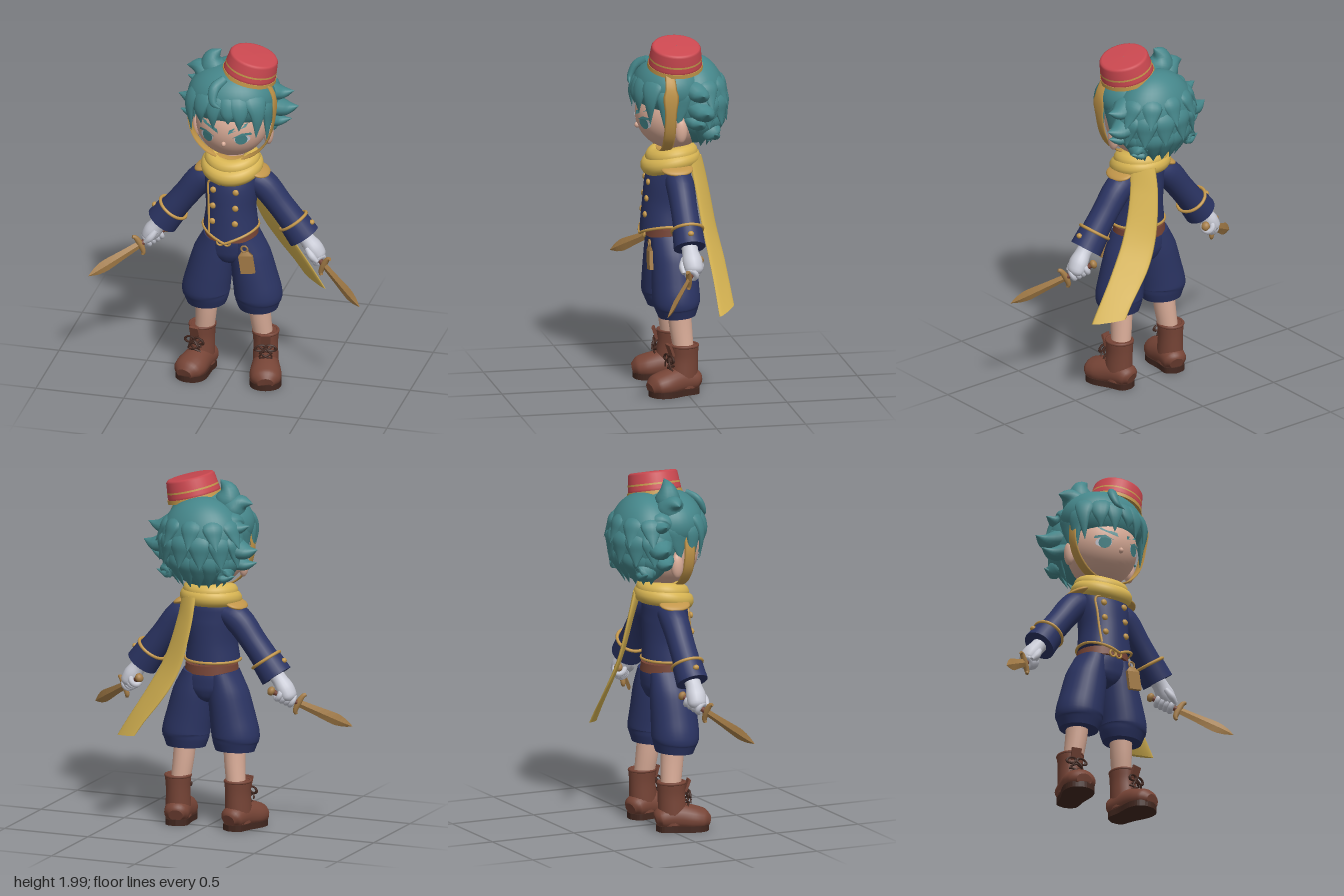
import * as THREE from 'three';

const mat = (name, color, side = THREE.FrontSide) => {
  const m = new THREE.MeshStandardMaterial({ color, side });
  m.name = name;
  return m;
};
const V = (x, y, z) => new THREE.Vector3(x, y, z);
const P = (x, y) => new THREE.Vector2(x, y);

// Elliptical tube through rows [x, y, z, width, height]; n is the direction of height.
function sweep(rows, n, sides = 20, steps = 4, flat = false) {
  const path = new THREE.CatmullRomCurve3(rows.map(r => V(r[0], r[1], r[2])));
  const size = new THREE.CatmullRomCurve3(rows.map(r => V(r[3], r[4], 0)));
  const total = (rows.length - 1) * steps, pos = [], idx = [];
  for (let i = 0; i <= total; i++) {
    const t = i / total, c = path.getPoint(t), d = path.getTangent(t), s = size.getPoint(t);
    const u = n.clone().cross(d).normalize(), v = d.clone().cross(u);
    for (let j = 0; j < sides; j++) {
      const a = j / sides * Math.PI * 2;
      const p = c.clone().addScaledVector(u, Math.cos(a) * Math.max(s.x, 0.001)).addScaledVector(v, Math.sin(a) * Math.max(s.y, 0.001));
      pos.push(p.x, p.y, p.z);
    }
  }
  for (let i = 0; i < total; i++) for (let j = 0; j < sides; j++) {
    const a = i * sides + j, b = i * sides + (j + 1) % sides;
    idx.push(a, b, a + sides, b, b + sides, a + sides);
  }
  for (const end of [0, total]) {
    const first = pos.length / 3;
    for (let j = 0; j < sides; j++) for (let k = 0; k < 3; k++) pos.push(pos[(end * sides + j) * 3 + k]);
    for (let j = 1; j < sides - 1; j++) idx.push(first, first + (end ? j : j + 1), first + (end ? j + 1 : j));
  }
  let g = new THREE.BufferGeometry();
  g.setAttribute('position', new THREE.Float32BufferAttribute(pos, 3));
  g.setIndex(idx);
  if (flat) g = g.toNonIndexed();
  g.computeVertexNormals();
  return g;
}
const ball = (x, y, z, rx, ry, rz, seg = 32) =>
  new THREE.SphereGeometry(1, seg, Math.ceil(seg * 0.7)).scale(rx, ry, rz).translate(x, y, z);
const tube = (pts, r, closed = false) =>
  new THREE.TubeGeometry(new THREE.CatmullRomCurve3(pts, closed), pts.length * 6, r, 8, closed);

// Move geometry vertices by a rule on each point.
function bend(g, rule) {
  const p = g.attributes.position, v = V(0, 0, 0);
  for (let i = 0; i < p.count; i++) {
    rule(v.fromBufferAttribute(p, i));
    p.setXYZ(i, v.x, v.y, v.z);
  }
  g.computeVertexNormals();
  return g;
}

export function createModel() {
  const model = new THREE.Group();
  const hairM = mat('teal hair', 0x45868a), red = mat('red felt', 0xcb4850), navy = mat('navy cloth', 0x2b3463);
  const yellow = mat('yellow scarf', 0xd8b553), gold = mat('gold trim', 0xc2964a), skin = mat('skin', 0xd8ab97);
  const brown = mat('brown leather', 0x764436), dark = mat('dark sole', 0x42271f);
  const white = mat('white glove', 0xc9cbd6, THREE.DoubleSide), bronze = mat('bronze', 0xa57d48);
  const add = (name, g, m, parent = model) => {
    const mesh = new THREE.Mesh(g, m);
    mesh.name = name;
    parent.add(mesh);
    return mesh;
  };
  const Z = V(0, 0, 1), Y = V(0, 1, 0);
  const caster = new THREE.Raycaster();
  const onFront = (mesh, x, y, lift) => {
    caster.set(V(x, y, 2), V(0, 0, -1));
    const hit = caster.intersectObject(mesh)[0];
    return V(x, y, (hit ? hit.point.z : 0.15) + lift);
  };

  // Head, nose and neck
  const head = add('head', ball(0, 1.56, 0.04, 0.203, 0.205, 0.208, 48), skin);
  add('nose', ball(0, 1.492, 0.238, 0.013, 0.016, 0.016, 16), skin);
  add('neck', new THREE.CylinderGeometry(0.058, 0.065, 0.2, 20).translate(0, 1.34, 0.03), skin);

  // Ears, and face details as thin patches on the head
  const patch = (name, pts, m, lift) => {
    const g = new THREE.ShapeGeometry(new THREE.Shape(pts.map(p => P(p[0], p[1]))));
    add(name, bend(g, v => v.copy(onFront(head, v.x, v.y, lift))), m);
  };
  const oval = (x, y, rx, ry) => Array.from({ length: 16 }, (_, i) =>
    [x + rx * Math.cos(i * Math.PI / 8), y + ry * Math.sin(i * Math.PI / 8)]);
  for (const s of [-1, 1]) {
    add('ear', ball(s * 0.203, 1.495, 0.035, 0.028, 0.07, 0.036, 20), skin);
    patch('eyeWhite', oval(s * 0.1, 1.524, 0.04, 0.028), white, 0.004);
    patch('iris', oval(s * 0.096, 1.524, 0.031, 0.034), hairM, 0.006);
    patch('eyelash', [[s * 0.05, 1.536], [s * 0.1, 1.549], [s * 0.15, 1.545], [s * 0.145, 1.56], [s * 0.1, 1.564]], hairM, 0.009);
    patch('eyebrow', [[s * 0.028, 1.56], [s * 0.12, 1.598], [s * 0.13, 1.618], [s * 0.034, 1.584]], hairM, 0.008);
  }

  // Hair: two smooth rounded masses with sunken locks whose tips break the outline
  const hair = new THREE.Group();
  hair.name = 'hair';
  model.add(hair);
  add('hairCrown', ball(0, 1.715, 0.06, 0.245, 0.178, 0.2, 40), hairM, hair);
  add('hairBack', ball(0, 1.63, -0.07, 0.24, 0.25, 0.185, 40), hairM, hair);
  const taper = [0.8, 1, 0.65, 0.02];
  const lock = (name, pts, w, h, n) =>
    add(name, sweep(pts.map((p, i) => [p.x, p.y, p.z, w * taper[i], h * taper[i]]), n.normalize(), 12, 5), hairM, hair);
  for (const [x, y, w] of [[-0.2, 1.53, 0.06], [-0.13, 1.6, 0.065], [-0.055, 1.585, 0.06], [0.03, 1.625, 0.06], [0.09, 1.585, 0.065], [0.175, 1.535, 0.07]]) {
    const z = 0.06 + 0.21 * Math.sqrt(1 - (x / 0.245) ** 2);
    lock('bang', [V(x * 0.6, 1.81, z * 0.55), V(x * 0.9, 1.75, z * 0.86), V(x * 1.05, 1.68, z * 0.98), V(x, y, z * 0.97)], w, 0.028, V(x, 0.05, 0.2));
  }
  for (const s of [-1, 1]) {
    lock('sideLock', [V(s * 0.16, 1.78, 0.12), V(s * 0.215, 1.7, 0.125), V(s * 0.22, 1.6, 0.12), V(s * 0.215, 1.48, 0.12)], 0.05, 0.022, V(s, 0, 0.3));
    lock('templeLock', [V(s * 0.17, 1.78, 0.04), V(s * 0.21, 1.71, 0.04), V(s * 0.215, 1.63, 0.04), V(s * 0.215, 1.53, 0.05)], 0.075, 0.025, V(s, 0, 0));
    // Side fins: broad from front to back, thin in height
    const fins = [[0.342, 1.615, -0.09, 0.085], [s > 0 ? 0.322 : 0.285, s > 0 ? 1.715 : 1.74, -0.07, 0.075],
      [s > 0 ? 0.31 : 0.325, s > 0 ? 1.55 : 1.535, -0.06, 0.065], [0.235, 1.47, -0.16, 0.06]];
    for (const [x, y, z, r] of fins) lock('sideSpike', [V(s * 0.1, y + 0.03, z + 0.03),
      V(s * 0.17, y + 0.005, z + 0.02), V(s * (x - 0.07), y - 0.018, z), V(s * x, y, z)], r * 0.75, r, V(0, 0.1, 1));
  }
  lock('topTuft', [V(-0.08, 1.76, 0.02), V(-0.115, 1.85, 0.02), V(-0.115, 1.915, 0.02), V(-0.07, 1.965, 0.02)], 0.075, 0.07, V(0, 0, 1));
  lock('topTuft', [V(-0.1, 1.76, 0.02), V(-0.15, 1.81, 0.02), V(-0.2, 1.845, 0.02), V(-0.265, 1.845, 0.02)], 0.07, 0.08, V(0, 0, 1));
  lock('curl', [V(-0.01, 1.86, 0.18), V(-0.055, 1.82, 0.235), V(-0.05, 1.75, 0.272), V(-0.005, 1.725, 0.28)], 0.03, 0.022, V(0, 0.2, 1));
  const onBack = (a, e, k) => V(k * 0.24 * Math.cos(e) * Math.cos(a), 1.63 + k * 0.25 * Math.sin(e), -0.07 - k * 0.185 * Math.cos(e) * Math.sin(a));
  for (const [el, count, w, tip, out] of [[0.2, 5, 0.06, 0.25, 1.12], [-0.2, 6, 0.07, 0.25, 1.13], [-0.7, 8, 0.065, 0.35, 1.12]]) {
    for (let i = 0; i < count; i++) {
      const a = (i + 0.5) / count * Math.PI;
      lock('backLock', [onBack(a, el + 0.5, 0.86), onBack(a, el + 0.25, 0.93), onBack(a, el, 0.98), onBack(a, el - tip, out)],
        w, 0.028, V(Math.cos(a), 0.1, -Math.sin(a)));
    }
  }

  // Tilted fez with gold bands and chin strap
  const hat = new THREE.Group();
  hat.name = 'hat';
  hat.position.set(0.094, 1.842, 0.045);
  hat.rotation.z = -0.25;
  model.add(hat);
  add('hatCrown', new THREE.LatheGeometry([P(0.001, 0), P(0.15, 0), P(0.147, 0.03), P(0.137, 0.112), P(0.13, 0.122), P(0.118, 0.125), P(0.001, 0.127)], 40), red, hat);
  add('hatBrimTrim', new THREE.CylinderGeometry(0.151, 0.154, 0.022, 40).translate(0, 0.008, 0), gold, hat);
  add('hatBand', new THREE.CylinderGeometry(0.1445, 0.146, 0.01, 40, 1, true).translate(0, 0.056, 0), gold, hat);
  const strap = [[0.215, 1.83], [0.252, 1.74], [0.248, 1.6], [0.205, 1.46], [0.12, 1.375], [0, 1.345], [-0.12, 1.375], [-0.2, 1.46], [-0.23, 1.56], [-0.225, 1.66]];
  add('chinStrap', sweep(strap.map((p, i) => [p[0], p[1], 0.1, 0.006, i ? 0.033 : 0.026]), Z, 8, 4), gold);

  // Jacket with a pointed front hem
  const dip = (x, z) => z > 0.07 ? 0.06 * Math.max(0, 1 - Math.abs(x) / 0.15) : 0;
  const jacket = add('jacket', bend(sweep([[0, 1.31, 0.045, 0.09, 0.08], [0, 1.26, 0.05, 0.155, 0.11], [0, 1.17, 0.065, 0.15, 0.13],
    [0, 1.05, 0.072, 0.14, 0.137], [0, 0.935, 0.078, 0.153, 0.145]], Z, 40, 5), v => {
    v.y -= dip(v.x, v.z) * THREE.MathUtils.clamp((1.05 - v.y) / 0.11, 0, 1);
  }), navy);
  const hem = Array.from({ length: 28 }, (_, i) => {
    const a = i / 28 * Math.PI * 2, x = 0.154 * Math.cos(a), z = 0.078 + 0.146 * Math.sin(a);
    return V(x, 0.937 - dip(x, z), z);
  });
  add('hemPiping', tube(hem, 0.008, true), gold);
  add('frontPiping', tube([[-0.03, 1.215], [-0.105, 1.215], [-0.105, 1.12], [-0.1, 1.02], [-0.095, 0.925]].map(p => onFront(jacket, p[0], p[1], 0.002)), 0.007), gold);
  for (const y of [1.178, 1.085, 0.995]) for (const x of [-0.074, 0.056]) {
    const p = onFront(jacket, x, y, 0.004);
    add('button', ball(p.x, p.y, p.z, 0.018, 0.018, 0.012, 14), gold);
  }

  // Belt, buckle and hanging tag
  add('belt', new THREE.CylinderGeometry(0.146, 0.152, 0.05, 32).scale(1, 1, 0.9).translate(0, 0.893, 0.062), brown);
  for (const x of [-0.03, 0.01]) add('buckle', new THREE.TorusGeometry(0.018, 0.006, 8, 16).translate(x, 0.873, 0.202), gold);
  const tag = new THREE.Group();
  tag.name = 'tag';
  tag.position.set(0.12, 0.75, 0.192);
  tag.rotation.z = 0.15;
  model.add(tag);
  add('tagPlate', new THREE.BoxGeometry(0.08, 0.105, 0.02), bronze, tag);
  add('tagTop', new THREE.CylinderGeometry(0.02, 0.04, 0.025, 4, 1).rotateY(Math.PI / 4).scale(1.41, 1, 0.35).translate(0, 0.065, 0), bronze, tag);
  add('tagLoop', new THREE.TorusGeometry(0.018, 0.006, 6, 14).translate(0, 0.093, 0), bronze, tag);

  // Draped scarf: a broad lower fold, a snug upper fold, and the tail behind
  for (const [y, z, rx, rz, r, tilt] of [[1.286, 0.052, 0.124, 0.115, 0.05, 0.22], [1.325, 0.046, 0.108, 0.098, 0.047, 0.16]]) {
    const pts = Array.from({ length: 16 }, (_, i) => {
      const a = i / 16 * Math.PI * 2;
      return V(rx * Math.cos(a), y - tilt * rz * Math.sin(a) + 0.006 * Math.cos(2 * a), z + rz * Math.sin(a));
    });
    add('scarfFold', new THREE.TubeGeometry(new THREE.CatmullRomCurve3(pts, true), 64, r, 14, true), yellow);
  }
  add('scarfTail', bend(sweep([[0.08, 1.31, -0.07, 0.07, 0.02], [0.095, 1.17, -0.1, 0.078, 0.014], [0.155, 0.93, -0.135, 0.09, 0.012],
    [0.245, 0.75, -0.16, 0.102, 0.012], [0.41, 0.515, -0.18, 0.105, 0.012]], V(0.6, 0, -0.8), 16, 6), v => {
    const drop = THREE.MathUtils.clamp((0.95 - v.y) / 0.4, 0, 1);
    v.y -= drop * 0.6 * (v.x - 0.155 - (0.93 - v.y) * 0.61);
  }), yellow);

  // Breeches seat
  add('breechesSeat', sweep([[0, 0.9, 0.058, 0.14, 0.122], [0, 0.84, 0.055, 0.162, 0.127], [0, 0.78, 0.052, 0.16, 0.122], [0, 0.73, 0.05, 0.09, 0.1], [0, 0.705, 0.05, 0.03, 0.06]], Z, 28), navy);

  for (const s of [-1, 1]) {
    // Puffed breeches leg and bare shin
    add('breechesLeg', sweep([[s * 0.08, 0.87, 0.056, 0.075, 0.118], [s * 0.105, 0.75, 0.052, 0.112, 0.126], [s * 0.13, 0.62, 0.052, 0.126, 0.13],
      [s * 0.148, 0.52, 0.05, 0.134, 0.132], [s * 0.147, 0.485, 0.048, 0.127, 0.122], [s * 0.147, 0.435, 0.045, 0.11, 0.104]], Z, 28, 5), navy);
    add('shin', sweep([[s * 0.148, 0.47, 0.035, 0.062, 0.066], [s * 0.155, 0.36, 0.025, 0.058, 0.063], [s * 0.17, 0.22, 0.01, 0.052, 0.055]], Z), skin);

    // Laced boot turned slightly outward
    const boot = new THREE.Group();
    boot.name = 'boot';
    boot.position.set(s * 0.18, 0, 0.01);
    boot.rotation.y = s * 0.25;
    model.add(boot);
    add('bootShaft', sweep([[0, 0.275, 0, 0.074, 0.08], [0, 0.2, 0, 0.068, 0.076], [0, 0.12, 0.005, 0.07, 0.08], [0, 0.04, 0.01, 0.072, 0.083]], Z), brown, boot);
    add('bootRim', new THREE.TorusGeometry(0.068, 0.009, 8, 24).rotateX(Math.PI / 2).scale(1, 1, 1.08).translate(0, 0.272, 0), brown, boot);
    add('bootFoot', bend(sweep([[0, 0.06, -0.086, 0.04, 0.035], [0, 0.07, -0.06, 0.068, 0.06], [0, 0.075, 0.03, 0.076, 0.08],
      [0, 0.063, 0.12, 0.089, 0.075], [0, 0.055, 0.175, 0.081, 0.063], [0, 0.045, 0.211, 0.045, 0.034]], Y, 24, 5), v => { v.y = Math.max(v.y, 0.028); }), brown, boot);
    const print = new THREE.Shape();
    print.moveTo(0, 0.086);
    print.splineThru([[0.057, 0.06], [0.068, -0.02], [0.088, -0.12], [0.066, -0.185], [0, -0.212], [-0.066, -0.185], [-0.088, -0.12], [-0.068, -0.02], [-0.057, 0.06], [0, 0.086]].map(p => P(p[0], p[1])));
    add('sole', new THREE.ExtrudeGeometry(print, { depth: 0.034, bevelEnabled: false, curveSegments: 4 }).rotateX(-Math.PI / 2), dark, boot);
    add('tongue', new THREE.BoxGeometry(0.055, 0.07, 0.014).rotateX(0.35).translate(0, 0.253, 0.088), brown, boot);
    for (const q of [-1, 1]) {
      for (const y of [0.14, 0.175]) add('lace', tube([V(-q * 0.035, y, 0.085), V(0, y + 0.015, 0.096), V(q * 0.035, y + 0.03, 0.075)], 0.006), dark, boot);
      add('bowLoop', new THREE.TorusGeometry(0.021, 0.007, 6, 14).scale(1.3, 0.8, 1).rotateZ(-q * 0.3).translate(q * 0.03, 0.208, 0.095), dark, boot);
      add('bowEnd', tube([V(0, 0.208, 0.097), V(q * 0.025, 0.18, 0.105), V(q * 0.035, 0.155, 0.1)], 0.005), dark, boot);
    }

    // Sleeve, cuff with piping, and shoulder board
    add('sleeve', sweep([[s * 0.1, 1.215, 0.035, 0.06, 0.07], [s * 0.17, 1.18, 0.033, 0.08, 0.078], [s * 0.27, 1.06, 0.03, 0.073, 0.074], [s * 0.37, 0.93, 0.028, 0.077, 0.077]], Z, 24), navy);
    add('cuff', sweep([[s * 0.342, 0.968, 0.028, 0.086, 0.083], [s * 0.404, 0.882, 0.028, 0.092, 0.088]], Z, 24), navy);
    const ring = add('cuffPiping', new THREE.TorusGeometry(0.086, 0.009, 8, 32), gold);
    ring.position.set(s * 0.342, 0.968, 0.028);
    ring.quaternion.setFromUnitVectors(Z, V(s * 0.58, -0.815, 0).normalize());
    add('cuffButton', ball(s * 0.448, 0.973, 0.03, 0.015, 0.015, 0.018, 12), gold);
    const board = add('shoulderBoard', ball(0, 0, 0, 0.064, 0.02, 0.09, 24), gold);
    board.position.set(s * 0.152, 1.266, 0.045);
    board.rotation.z = -s * 0.35;

    // Dagger, gripped through the fist
    const dagger = new THREE.Group();
    dagger.name = 'dagger';
    const d = V(s * 0.74, -0.436, 0.51).normalize();
    const normal = V(-s * 0.39, -0.8, -0.12).cross(d).normalize();
    dagger.quaternion.setFromRotationMatrix(new THREE.Matrix4().makeBasis(d.clone().cross(normal), d, normal));
    dagger.position.set(s * 0.462, 0.77, 0.015);
    model.add(dagger);
    add('blade', sweep([[0, 0.09, 0, 0.021, 0.009], [0, 0.2, 0, 0.027, 0.01], [0, 0.31, 0, 0.034, 0.01], [0, 0.37, 0, 0.023, 0.008], [0, 0.42, 0, 0.001, 0.001]], Z, 4, 3, true), bronze, dagger);
    add('guard', sweep([[-0.062, 0.1, 0, 0.009, 0.009], [-0.05, 0.088, 0, 0.013, 0.013], [0, 0.082, 0, 0.018, 0.017], [0.05, 0.088, 0, 0.013, 0.013], [0.062, 0.1, 0, 0.009, 0.009]], Z, 10), bronze, dagger);
    add('grip', new THREE.CylinderGeometry(0.015, 0.015, 0.17, 12), brown, dagger);
    add('pommel', ball(0, -0.088, 0, 0.026, 0.02, 0.024, 14), bronze, dagger);

    // Gloved fist
    add('palm', sweep([[s * 0.385, 0.905, 0.028, 0.045, 0.045], [s * 0.42, 0.865, 0.028, 0.043, 0.045], [s * 0.458, 0.815, 0.024, 0.05, 0.056],
      [s * 0.482, 0.775, 0.02, 0.044, 0.052], [s * 0.49, 0.752, 0.02, 0.02, 0.03]], Z, 18), white);
    for (let i = 0; i < 4; i++)
      add('finger', new THREE.TorusGeometry(0.027, 0.0165, 8, 18).rotateX(Math.PI / 2).translate(0, (i - 1.5) * 0.027, 0), white, dagger);
    add('thumb', sweep([[s * 0.43, 0.83, 0.065, 0.016, 0.016], [s * 0.46, 0.79, 0.08, 0.02, 0.02], [s * 0.49, 0.758, 0.078, 0.012, 0.012]], Z, 10), white);
  }
  return model;
}
